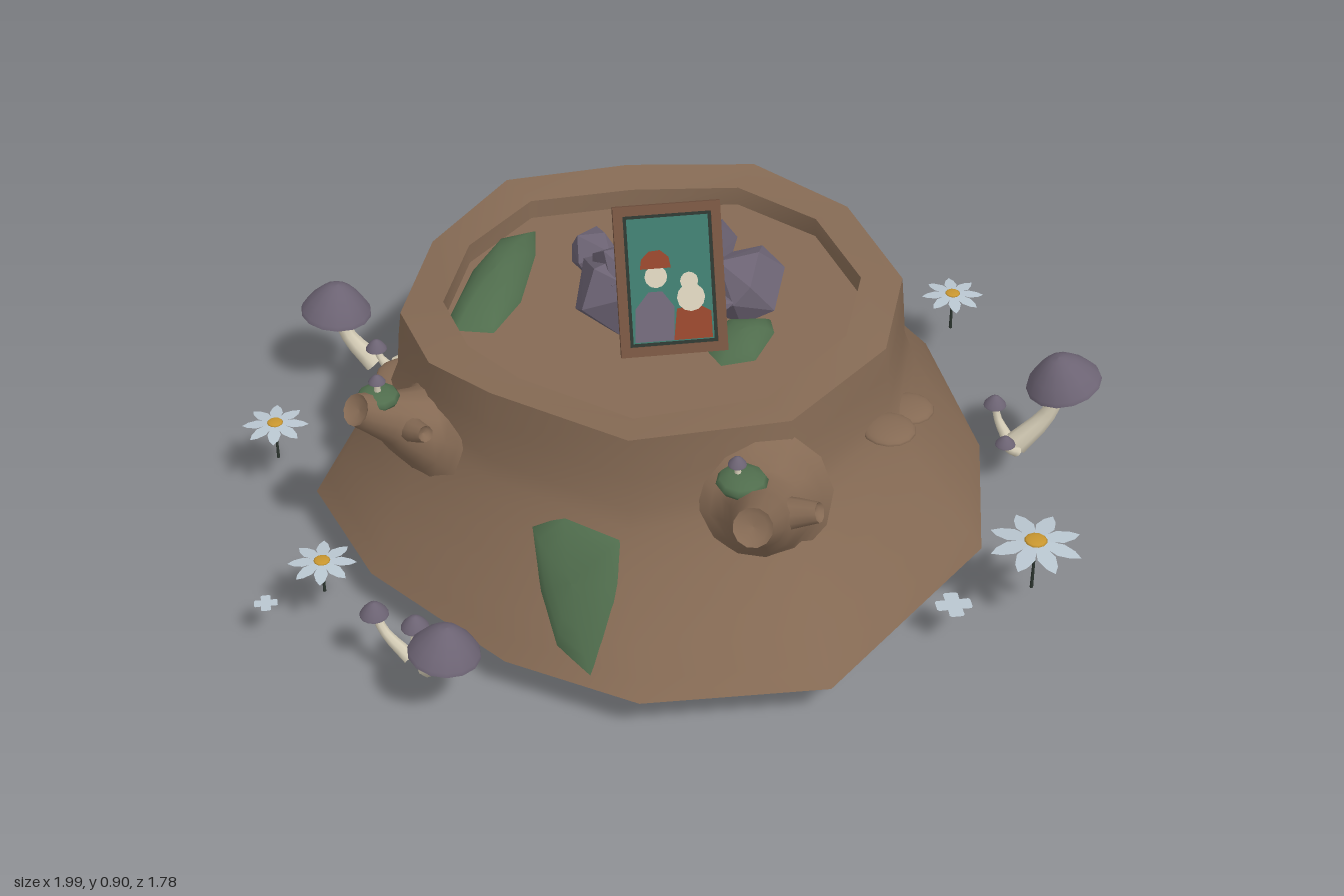
import * as THREE from 'three';
import { mergeGeometries } from 'three/addons/utils/BufferGeometryUtils.js';
import { ConvexGeometry } from 'three/addons/geometries/ConvexGeometry.js';

const mat = (name, color, double) => {
  const m = new THREE.MeshStandardMaterial({ color });
  m.name = name;
  if (double) m.side = THREE.DoubleSide;
  return m;
};
const V = (x, y, z) => new THREE.Vector3(x, y, z);

// Closed loops of points joined into a skin with smooth normals
function loft(rings) {
  const n = rings[0].length, pos = [], idx = [];
  rings.forEach(r => r.forEach(p => pos.push(p.x, p.y, p.z)));
  for (let j = 0; j < rings.length - 1; j++) for (let i = 0; i < n; i++) {
    const a = j * n + i, b = j * n + (i + 1) % n;
    idx.push(a, a + n, b, b, a + n, b + n);
  }
  const g = new THREE.BufferGeometry();
  g.setAttribute('position', new THREE.Float32BufferAttribute(pos, 3));
  g.setIndex(idx);
  g.computeVertexNormals();
  return g;
}

// Tapered round limb along a few points
function limb(points, radii, sides = 10, steps = 10) {
  const curve = new THREE.CatmullRomCurve3(points), rings = [];
  const ring = (t, r, push = 0) => {
    const c = curve.getPoint(t), d = curve.getTangent(t);
    const q = new THREE.Quaternion().setFromUnitVectors(V(0, 1, 0), d);
    return Array.from({ length: sides }, (_, i) => {
      const a = i / sides * Math.PI * 2;
      return V(Math.cos(a) * r, push, Math.sin(a) * r).applyQuaternion(q).add(c);
    });
  };
  for (let s = 0; s <= steps; s++) {
    const f = s / steps * (radii.length - 1), k = Math.min(Math.floor(f), radii.length - 2);
    rings.push(ring(s / steps, THREE.MathUtils.lerp(radii[k], radii[k + 1], f - k)));
  }
  const r = radii[radii.length - 1];
  return mergeGeometries([loft(rings), loft([ring(1, r), ring(1, r * 0.7, -0.008), ring(1, 0, -0.012)])]);
}

// Stump outline at the ground and at the rim, plus the flare between them
const BASE = [[-.11, -.625], [.4, -.54], [.68, -.32], [.72, .1], [.64, .47], [.22, .88], [-.19, .87], [-.46, .7], [-.73, .37], [-.84, .06], [-.69, -.29], [-.41, -.455]];
const TOP = [[-.05, -.42], [.25, -.39], [.44, -.2], [.51, .1], [.42, .36], [.17, .6], [-.18, .64], [-.45, .43], [-.57, .27], [-.62, .06], [-.53, -.2], [-.34, -.4]];
const TOP_Y = [.635, .63, .615, .61, .61, .62, .635, .63, .605, .595, .605, .63];
const FLARE = [[.62, 0], [.46, .06], [.38, .2], [.27, .49], [.11, 1], [0, 1.15]];
const CX = -.055, CZ = .11, FLOOR = .575;

function wall(u, y) {
  let k = 0;
  while (k < FLARE.length - 2 && y < FLARE[k + 1][0]) k++;
  const [y0, t0] = FLARE[k], [y1, t1] = FLARE[k + 1];
  const t = t0 + (t1 - t0) * (y0 - y) / (y0 - y1);
  const i = Math.floor(u) % 12, j = (i + 1) % 12, f = u - Math.floor(u);
  const at = (c, axis) => TOP[c][axis] + (BASE[c][axis] - TOP[c][axis]) * t;
  return V(at(i, 0) * (1 - f) + at(j, 0) * f, y, at(i, 1) * (1 - f) + at(j, 1) * f);
}

// Cushion grown over a surface inside an outline
function cushion(outline, height, surface) {
  const c = [0, 1].map(a => outline.reduce((s, p) => s + p[a], 0) / outline.length);
  return loft([1, .93, .75, .5, .25, 0].map(k => outline.map(p => {
    const lift = height * (1 - k * k) + .012 * (1 - k ** 8) - .004;
    return surface(c[0] + (p[0] - c[0]) * k, c[1] + (p[1] - c[1]) * k, lift);
  })));
}
const onWall = (u, y, lift) => {
  const p = wall(u, y);
  return p.add(V(p.x - CX, .3, p.z - CZ).normalize().multiplyScalar(lift));
};
const onFlat = base => (x, z, lift) => V(x, base + lift, z);

export function createModel() {
  const root = new THREE.Group();
  root.name = 'treeStump';
  const bark = mat('bark brown', 0x856a54, true), moss = mat('moss green', 0x506d4d, true);
  const rock = mat('stone purple', 0x6c6373), cream = mat('cream', 0xd2cab4);
  const petal = mat('petal white', 0xb9c6d0, true), yellow = mat('yellow', 0xc8962f);
  const teal = mat('teal', 0x3d776b), rust = mat('rust red', 0x90432a);
  const wood = mat('frame wood', 0x73523f), dark = mat('dark green', 0x2c352f);
  const add = (name, geo, m, parent = root) => {
    const mesh = new THREE.Mesh(geo, m);
    mesh.name = name;
    parent.add(mesh);
    return mesh;
  };

  // Stump: open flared wall, rim, recessed floor
  const rim = TOP.map((p, i) => V(p[0], TOP_Y[i], p[1]));
  const inset = (s, y) => TOP.map(p => V(CX + (p[0] - CX) * s, y, CZ + (p[1] - CZ) * s));
  const levels = [.11, .15, .2, .27, .33, .38, .42, .46, .54].map(y => TOP.map((_, i) => wall(i, y)));
  add('stumpWall', loft([...levels, rim]), bark);
  add('stumpRim', loft([rim, inset(.83, .622)]), bark);
  add('recessWall', loft([inset(.83, .622), inset(.83, FLOOR)]), bark);
  add('stumpTop', loft([inset(.83, FLOOR), inset(0, FLOOR)]), bark);

  // Broken branches flaring out of the wall, each with a side twig
  add('frontBranch', limb([V(.1, .44, .625), V(.095, .455, .685), V(.08, .495, .755), V(.06, .535, .82), V(.045, .565, .87)], [.16, .098, .066, .051, .042], 12), bark);
  add('frontTwig', limb([V(.08, .47, .72), V(.15, .495, .75), V(.2, .515, .78)], [.05, .034, .022]), bark);
  add('sideBranch', limb([V(-.555, .42, .25), V(-.6, .44, .268), V(-.655, .485, .295), V(-.7, .52, .32), V(-.735, .55, .345)], [.15, .09, .06, .046, .036], 12), bark);
  add('sideTwig', limb([V(-.63, .46, .28), V(-.615, .48, .34), V(-.59, .5, .385)], [.04, .028, .018]), bark);

  // Shelf fungi: thin lens shapes
  [[.42, .44, .43, .06], [.49, .4, .31, .058], [-.62, .4, .03, .065], [-.03, .44, -.435, .105]].forEach(([x, y, z, r]) => {
    const s = add('shelfFungus', new THREE.SphereGeometry(r, 14, 6, 0, Math.PI * 2, 0, Math.PI / 2), bark);
    s.position.set(x, y, z);
    s.scale.y = .018 / r;
  });

  // Moss
  add('frontMoss', cushion([[6.74, .36], [6.48, .4], [6.07, .395], [6.1, .31], [6.35, .125], [6.6, .16], [6.7, .245]], .018, onWall), moss);
  add('backMoss', cushion([[.36, .14], [.5, .06], [.8, .015], [1.1, .003], [1.45, .025], [1.72, .09], [1.76, .15], [1.55, .22], [1, .25], [.6, .215]], .07, onWall), moss);
  add('rimMoss', cushion([[-.29, -.23], [-.3, -.13], [-.35, .05], [-.42, .16], [-.5, .14], [-.51, .08], [-.45, -.08], [-.37, -.21]], .035, onFlat(.595)), moss);
  add('topMoss', cushion([[.2, .17], [.2, .22], [.14, .32], [.06, .33], [.03, .25], [.1, .16]], .025, onFlat(FLOOR)), moss);
  [[.05, .55, .7, .056], [-.685, .55, .305, .048]].forEach(([x, y, z, r]) => {
    const m = add('branchMoss', new THREE.SphereGeometry(r, 10, 6), moss);
    m.position.set(x, y, z);
    m.scale.y = .42;
  });

  // Pile of angular rocks
  let seed = 7;
  const rnd = () => (seed = (seed * 16807) % 2147483647) / 2147483647;
  [[-.13, .65, .12, .11, .11, .11], [-.03, .71, .09, .09, .095, .09], [.0, .655, -.05, .1, .08, .07], [-.17, .64, -.05, .055, .06, .055],
    [.145, .635, .1, .09, .085, .09], [.07, .67, .03, .08, .08, .08], [0, .64, .18, .1, .06, .06], [-.12, .71, .12, .075, .07, .075]].forEach(([x, y, z, a, b, c]) => {
    const pts = Array.from({ length: 13 }, (_, i) => {
      const h = 1 - (2 * i + 1) / 13, w = i * 2.4 + rnd() * .9, s = Math.sqrt(1 - h * h), k = 1 + rnd() * .16;
      return V(s * Math.cos(w) * a * k, h * b * k, s * Math.sin(w) * c * k);
    });
    add('rock', new ConvexGeometry(pts), rock).position.set(x, y, z);
  });

  // Framed picture leaning on the rocks
  const pic = new THREE.Group();
  pic.name = 'framedPicture';
  pic.position.set(-.036, .745, .225);
  pic.rotation.x = -.46;
  root.add(pic);
  const W = .235, H = .33, B = .021;
  [-1, 1].forEach(s => {
    add('frameSide', new THREE.BoxGeometry(B, H, .018), wood, pic).position.x = s * (W - B) / 2;
    add('frameEnd', new THREE.BoxGeometry(W - 2 * B, B, .018), wood, pic).position.y = s * (H - B) / 2;
  });
  add('frameLiner', new THREE.BoxGeometry(W - 2 * B, H - 2 * B, .007), dark, pic);
  add('pictureGround', new THREE.BoxGeometry(.178, .273, .0096), teal, pic);
  const plate = (name, pts, m, z) => add(name, new THREE.ShapeGeometry(new THREE.Shape(pts.map(p => new THREE.Vector2(...p)))), m, pic).position.z = z;
  const disc = (name, r, x, y, m, z) => add(name, new THREE.CircleGeometry(r, 12), m, pic).position.set(x, y, z);
  plate('leftCoat', [[-.085, -.134], [0, -.134], [.005, -.06], [-.02, -.025], [-.05, -.025], [-.08, -.06]], rock, .006);
  disc('leftFace', .025, -.032, .008, cream, .007);
  plate('leftHat', [[-.066, .026], [.002, .026], [-.002, .05], [-.02, .066], [-.045, .064], [-.062, .048]], rust, .008);
  plate('rightCoat', [[0, -.134], [.085, -.134], [.085, -.075], [.06, -.06], [.01, -.065]], rust, .007);
  disc('rightHead', .031, .042, -.042, cream, .008);
  disc('rightHair', .02, .04, -.006, cream, .008);

  // Mushrooms: foot, cap bottom, cap radius, cap height, cap tilt
  const mushroom = (foot, top, r, h, tilt = 0) => {
    const g = new THREE.Group();
    g.name = 'mushroom';
    root.add(g);
    const mid = V(foot.x + (top.x - foot.x) * .7, (foot.y + top.y) / 2, foot.z + (top.z - foot.z) * .7);
    const s = r < .05 ? r * .36 : r * .22;
    add('mushroomStem', limb([foot, mid, top.clone().add(V(0, h * .25, 0))], [s * 1.5, s, s * .8], 8, 6), cream, g);
    const cap = new THREE.Group();
    cap.name = 'mushroomHead';
    cap.position.copy(top);
    cap.rotation.z = tilt;
    g.add(cap);
    const lathe = pts => new THREE.LatheGeometry(pts.map(p => new THREE.Vector2(p[0] * r, p[1] * h)), 14);
    add('mushroomCap', lathe([[1, 0], [.97, .13], [.75, .46], [.45, .8], [.2, .96], [0, 1]]), rock, cap);
    add('mushroomGills', lathe([[.1, .05], [.55, -.08], [.9, -.04], [1, 0]]), cream, cap);
  };
  mushroom(V(.805, .115, .11), V(.905, .29, .12), .089, .078, .25);
  mushroom(V(.79, .115, .08), V(.765, .185, .045), .027, .026);
  mushroom(V(.8, .115, .14), V(.765, .155, .16), .024, .022);
  mushroom(V(-.68, .115, -.42), V(-.765, .245, -.465), .086, .08, -.1);
  mushroom(V(-.63, .115, -.41), V(-.565, .18, -.405), .031, .03);
  mushroom(V(-.65, .115, -.4), V(-.675, .16, -.415), .026, .026);
  mushroom(V(-.625, .11, .69), V(-.59, .2, .755), .079, .07, -.12);
  mushroom(V(-.65, .11, .67), V(-.645, .165, .625), .031, .03);
  mushroom(V(-.66, .11, .66), V(-.73, .19, .6), .032, .032);
  mushroom(V(.045, .55, .7), V(.04, .592, .695), .02, .02);
  mushroom(V(-.685, .555, .305), V(-.685, .594, .31), .019, .018);

  // Flowers: pointed petals in a ring on a thin stalk
  const petals = (outline, count, r, droop) => mergeGeometries(Array.from({ length: count }, (_, i) => {
    const g = new THREE.ShapeGeometry(new THREE.Shape(outline.map(p => new THREE.Vector2(p[0] * r, p[1] * r))));
    return g.rotateX(-Math.PI / 2 - droop).rotateY(i / count * Math.PI * 2 + r * 9);
  }));
  [[.15, .215, -.8, .081], [.295, .2, -.69, .067], [.755, .215, -.38, .077], [.72, .245, .615, .107], [-.835, .198, .415, .077], [-.925, .213, -.08, .078]].forEach(([x, y, z, r]) => {
    const g = new THREE.Group();
    g.name = 'flower';
    g.position.set(x, y, z);
    root.add(g);
    add('flowerPetals', petals([[0, 0], [.1, .2], [.2, .55], [.13, .82], [0, 1], [-.13, .82], [-.2, .55], [-.1, .2]], 8, r, .1), petal, g);
    const eye = add('flowerEye', new THREE.SphereGeometry(r * .24, 12, 6), yellow, g);
    eye.scale.y = .25;
    add('flowerStalk', new THREE.CylinderGeometry(.0025, .004, y - .11, 6), dark, g).position.y = (.11 - y) / 2;
  });
  // Small loose blossoms
  [[.36, -.84, .052], [.535, .655, .04], [-.965, .445, .026]].forEach(([x, z, r]) => {
    const b = add('smallBlossom', petals([[0, -.1], [.4, .3], [.42, .9], [.3, 1], [-.3, 1], [-.42, .9], [-.4, .3]], 4, r, 0), petal);
    b.position.set(x, .115, z);
    b.rotation.y = -r * 9;
  });
  return root;
}
